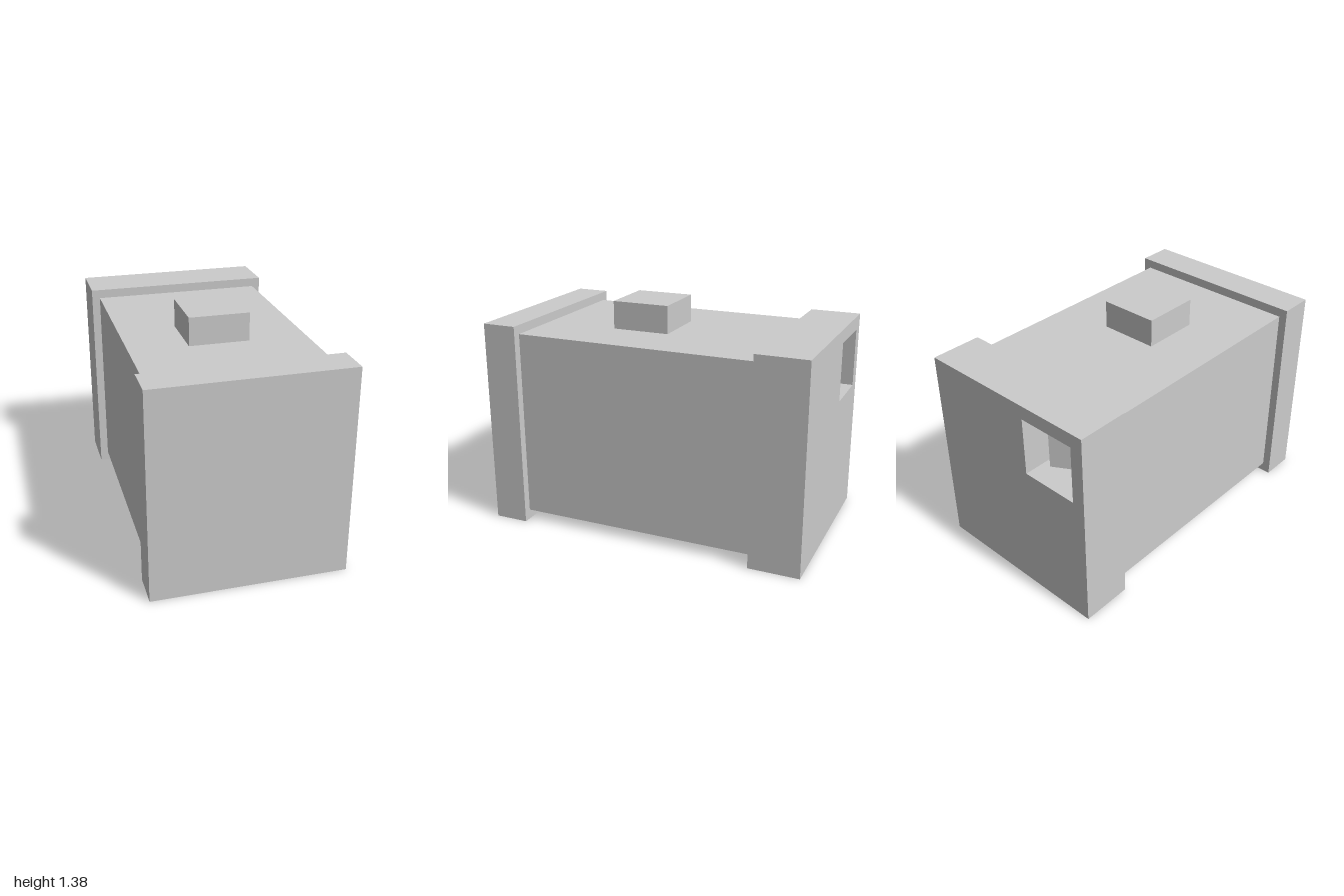
import * as THREE from 'three';

const material = new THREE.MeshStandardMaterial({ color: 0xcccccc, flatShading: true, side: THREE.DoubleSide });

// Box given by its lowest and highest corners
function box(name, [x0, y0, z0], [x1, y1, z1]) {
  const mesh = new THREE.Mesh(new THREE.BoxGeometry(x1 - x0, y1 - y0, z1 - z0), material);
  mesh.name = name;
  mesh.position.set((x0 + x1) / 2, (y0 + y1) / 2, (z0 + z1) / 2);
  return mesh;
}

const polygon = (Type, points) => new Type(points.map(([x, y]) => new THREE.Vector2(x, y)));
const rectangle = (x0, y0, x1, y1) => [[x0, y0], [x1, y0], [x1, y1], [x0, y1]];

export function createModel() {
  const group = new THREE.Group();
  group.name = 'casing';

  // Main body, front end plate and top knob
  group.add(box('body', [-0.53, 0.06, -0.69], [0.53, 1.21, 0.79]));
  group.add(box('frontPlate', [-0.58, 0, 0.79], [0.58, 1.265, 1]));
  group.add(box('topKnob', [-0.18, 1.21, -0.02], [0.18, 1.38, 0.335]));

  // Back end plate with a square socket opening
  const [left, right, bottom, top] = [-0.14, -0.5, 0.82, 1.18];
  const plate = polygon(THREE.Shape, rectangle(-0.58, 0, 0.58, 1.265));
  plate.holes.push(polygon(THREE.Path, rectangle(right, bottom, left, top)));
  const backPlate = new THREE.Mesh(new THREE.ExtrudeGeometry(plate, { depth: 0.31, bevelEnabled: false }), material);
  backPlate.name = 'backPlate';
  backPlate.position.z = -1;
  group.add(backPlate);

  // Slanted wedge inside the socket; drawn in x and -z, then turned upright
  const wedge = polygon(THREE.Shape, [[right, 0.69], [-0.19, 0.69], [-0.19, 0.87]]);
  const socketWedge = new THREE.Mesh(
    new THREE.ExtrudeGeometry(wedge, { depth: top - bottom, bevelEnabled: false }), material);
  socketWedge.name = 'socketWedge';
  socketWedge.rotation.x = -Math.PI / 2;
  socketWedge.position.y = bottom;
  group.add(socketWedge);

  return group;
}
